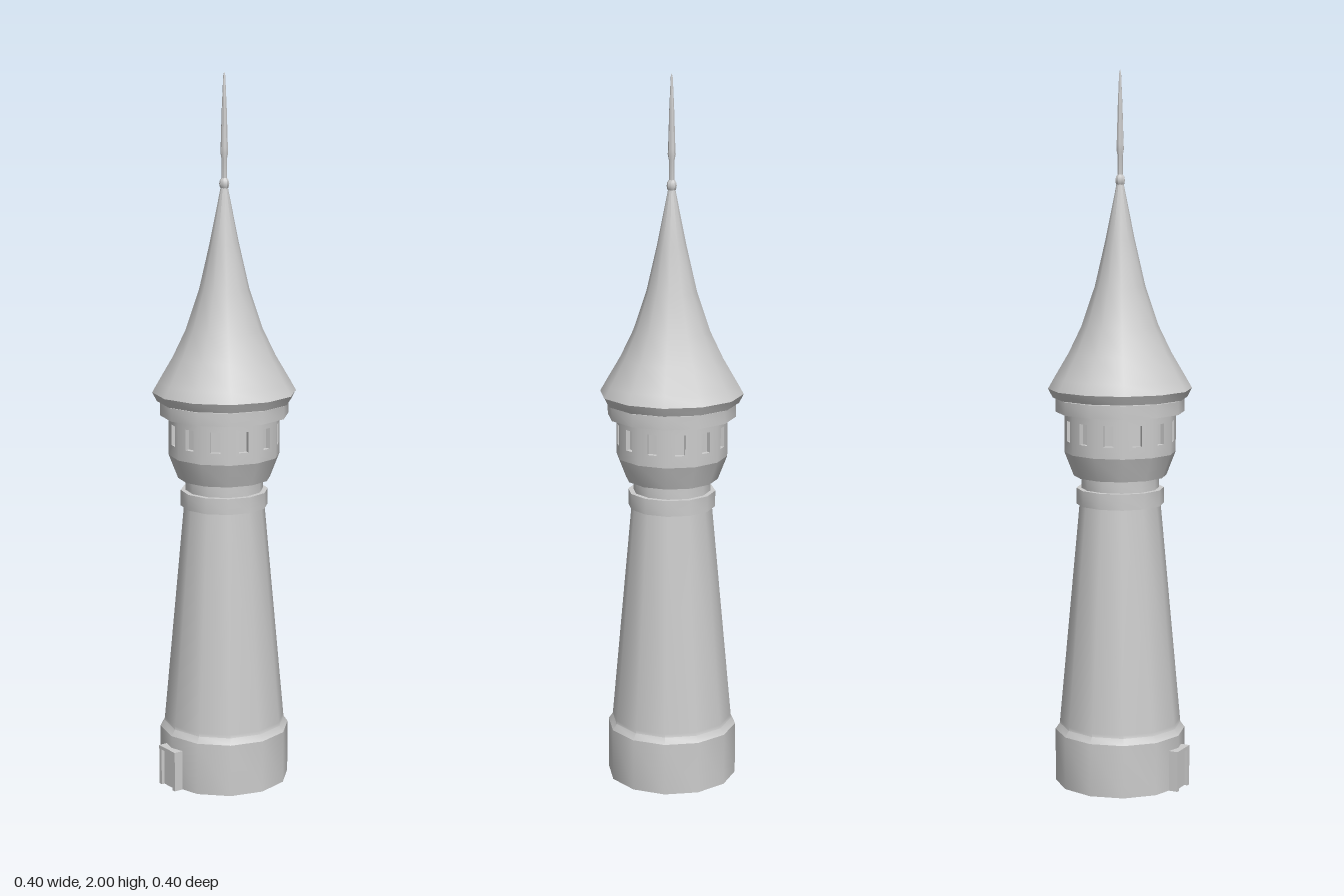
import * as THREE from 'three';
import { toCreasedNormals } from 'three/addons/utils/BufferGeometryUtils.js';

const SIDES = 12;

export function createModel() {
  const group = new THREE.Group();
  // Double-sided because the tower is hollow and open underneath
  const stone = new THREE.MeshStandardMaterial({ color: 0xcccccc, side: THREE.DoubleSide });
  stone.name = 'pale grey stone';

  const add = (name, geometry, parent = group) => {
    const mesh = new THREE.Mesh(geometry, stone);
    mesh.name = name;
    parent.add(mesh);
    return mesh;
  };
  // Turned part from [radius, height] pairs, bottom to top
  const turned = (name, profile, sides = SIDES) => {
    const points = profile.map(([r, y]) => new THREE.Vector2(r, y));
    return add(name, toCreasedNormals(new THREE.LatheGeometry(points, sides), 0.6));
  };
  const box = (name, w, h, d, x, y, z, parent) =>
    add(name, new THREE.BoxGeometry(w, h, d).translate(x, y, z), parent);

  // Base, open underneath, and tapering shaft with a soft bevel at its foot
  turned('base', [[0.184, 0], [0.184, 0.15]]);
  turned('shaft', [[0.184, 0.15], [0.172, 0.167], [0.1711, 0.177], [0.113, 0.81]]);
  turned('collar', [[0.105, 0.8], [0.123, 0.8], [0.123, 0.845], [0.1, 0.845]]);
  turned('neck', [[0.109, 0.84], [0.109, 0.885]]);

  // Lookout room
  turned('roomFlare', [[0.1, 0.88], [0.13, 0.88], [0.156, 0.947]]);
  const radius = 0.156, y0 = 0.947, y1 = 1.065;
  const half = radius * Math.sin(Math.PI / SIDES);
  const inner = radius * Math.cos(Math.PI / SIDES);
  const winW = 0.028, winH = 0.058, winY = 1.009, depth = 0.014;
  const rect = (path, x0, b, x1, t) =>
    path.moveTo(x0, b).lineTo(x1, b).lineTo(x1, t).lineTo(x0, t).closePath();

  // Wall panel with a window hole, shaded as part of a round wall
  const shape = rect(new THREE.Shape(), -half, y0, half, y1);
  shape.holes.push(rect(new THREE.Path(), -winW / 2, winY - winH / 2, winW / 2, winY + winH / 2));
  const panel = new THREE.ShapeGeometry(shape).translate(0, 0, inner);
  const pos = panel.attributes.position;
  for (let i = 0; i < pos.count; i++) {
    const n = new THREE.Vector3(pos.getX(i), 0, pos.getZ(i)).normalize();
    panel.attributes.normal.setXYZ(i, n.x, n.y, n.z);
  }

  // Window recess: a box turned inside out with its outer face left open
  const recess = new THREE.BoxGeometry(winW, winH, depth);
  recess.setIndex(Array.from(recess.index.array).slice(0, 30));
  recess.clearGroups();
  recess.scale(1, 1, -1).translate(0, winY, inner - depth / 2);
  recess.computeVertexNormals();

  for (let i = 0; i < SIDES; i++) {
    const side = new THREE.Group();
    side.name = 'roomSide';
    side.rotation.y = ((i + 0.5) / SIDES) * Math.PI * 2;
    add('wallPanel', panel, side);
    add('windowRecess', recess, side);
    group.add(side);
  }
  turned('eaveRing', [[0.15, 1.06], [0.18, 1.06], [0.18, 1.097], [0.15, 1.097]]);

  // Flared roof
  turned('roofUnderside', [[0.15, 1.1], [0.188, 1.1], [0.201, 1.125]]);
  turned('roof', [
    [0.201, 1.125], [0.184, 1.155], [0.143, 1.225], [0.107, 1.3],
    [0.07, 1.41], [0.04, 1.54], [0.01, 1.69],
  ]);

  // Finial
  turned('finialBall', [[0.006, 1.682], [0.012, 1.69], [0.014, 1.7], [0.012, 1.71], [0.006, 1.718]], 8);
  turned('spike', [
    [0.008, 1.71], [0.008, 1.77], [0.011, 1.785], [0.01, 1.8],
    [0.007, 1.9], [0.003, 1.99], [0.0005, 2],
  ], 8);

  // Doorway passing through the wall, with a thin recessed door
  const door = new THREE.Group();
  door.name = 'doorway';
  group.add(door);
  for (const s of [-1, 1]) box('doorJamb', 0.012, 0.115, 0.06, s * 0.033, 0.0575, 0.17, door);
  box('doorLintel', 0.054, 0.01, 0.06, 0, 0.11, 0.17, door);
  box('doorPanel', 0.054, 0.105, 0.005, 0, 0.0525, 0.188, door);

  return group;
}
